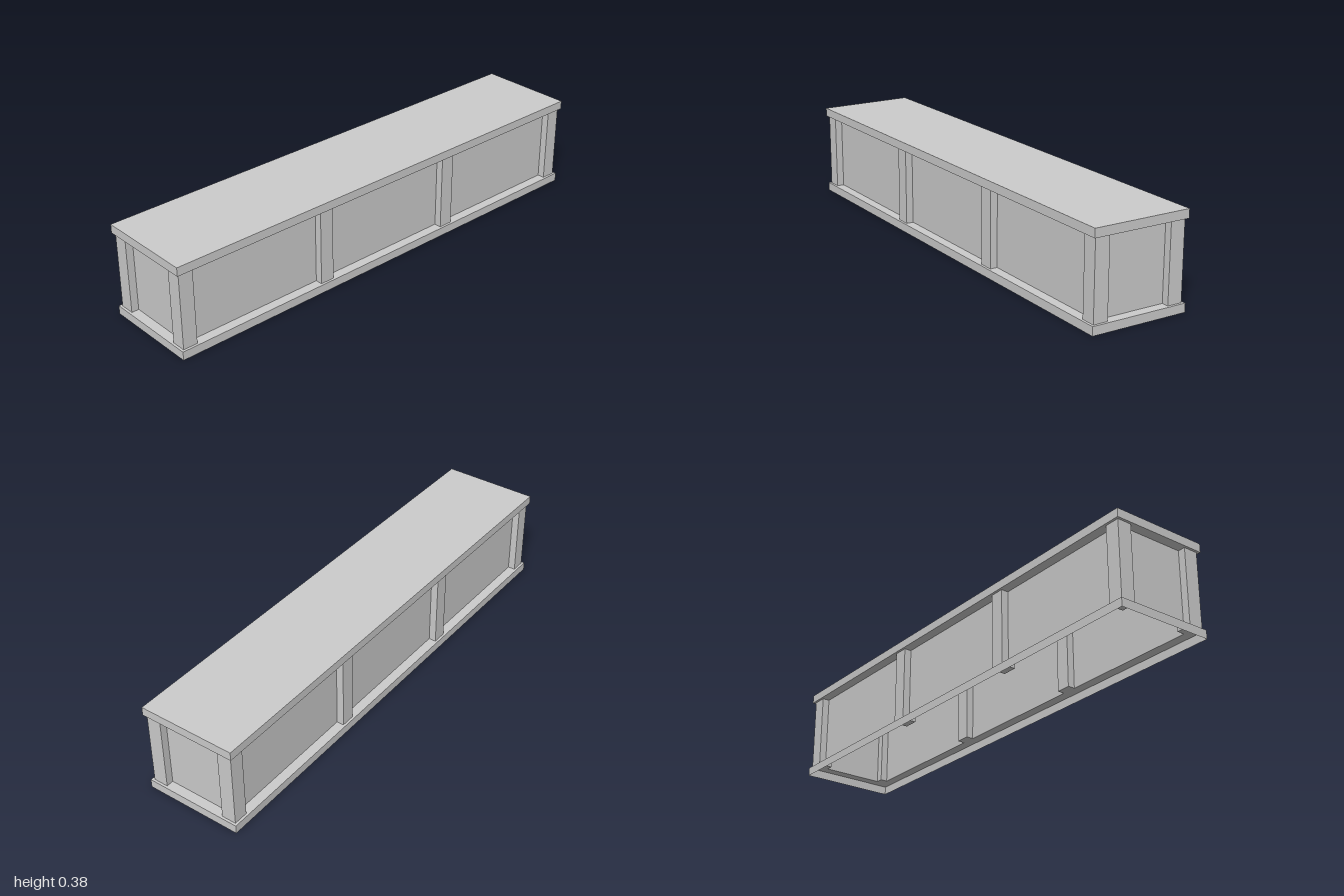
import * as THREE from 'three';

const material = new THREE.MeshStandardMaterial({ color: 0xcccccc, flatShading: true, side: THREE.DoubleSide });

// Open-bottomed rectangular shell: skins a list of [halfX, y, halfZ] cross-sections.
function rectangularShell(sections) {
  const corners = ([x, y, z]) => [[x, y, z], [x, y, -z], [-x, y, -z], [-x, y, z]];
  const positions = [];
  for (let i = 0; i < sections.length - 1; i++) {
    const low = corners(sections[i]);
    const high = corners(sections[i + 1]);
    for (let k = 0; k < 4; k++) {
      const n = (k + 1) % 4;
      positions.push(...low[k], ...low[n], ...high[n], ...low[k], ...high[n], ...high[k]);
    }
  }
  // Close the top
  const top = corners(sections[sections.length - 1]);
  for (const k of [0, 1, 2, 0, 2, 3]) positions.push(...top[k]);

  const geometry = new THREE.BufferGeometry();
  geometry.setAttribute('position', new THREE.Float32BufferAttribute(positions, 3));
  geometry.computeVertexNormals();
  return geometry;
}

export function createModel() {
  const group = new THREE.Group();
  group.name = 'panelledBox';

  const rim = 0.035;
  const height = 0.38;
  const postSize = 0.06;

  // Hollow body: bottom rim, recessed panels, overhanging top
  const body = new THREE.Mesh(rectangularShell([
    [1, 0, 0.2],
    [1, rim, 0.2],
    [0.96, rim, 0.16],
    [0.96, height - rim, 0.16],
    [1, height - rim, 0.2],
    [1, height, 0.2],
  ]), material);
  body.name = 'body';
  group.add(body);

  // Square posts along both long sides, half sunk into the panels
  const postGeometry = new THREE.BoxGeometry(postSize, height - 2 * rim, postSize);
  for (const z of [-0.16, 0.16]) {
    for (const x of [-0.96, -0.32, 0.32, 0.96]) {
      const post = new THREE.Mesh(postGeometry, material);
      post.name = Math.abs(x) > 0.5 ? 'cornerPost' : 'middlePost';
      post.position.set(x, height / 2, z);
      group.add(post);
    }
  }

  return group;
}
